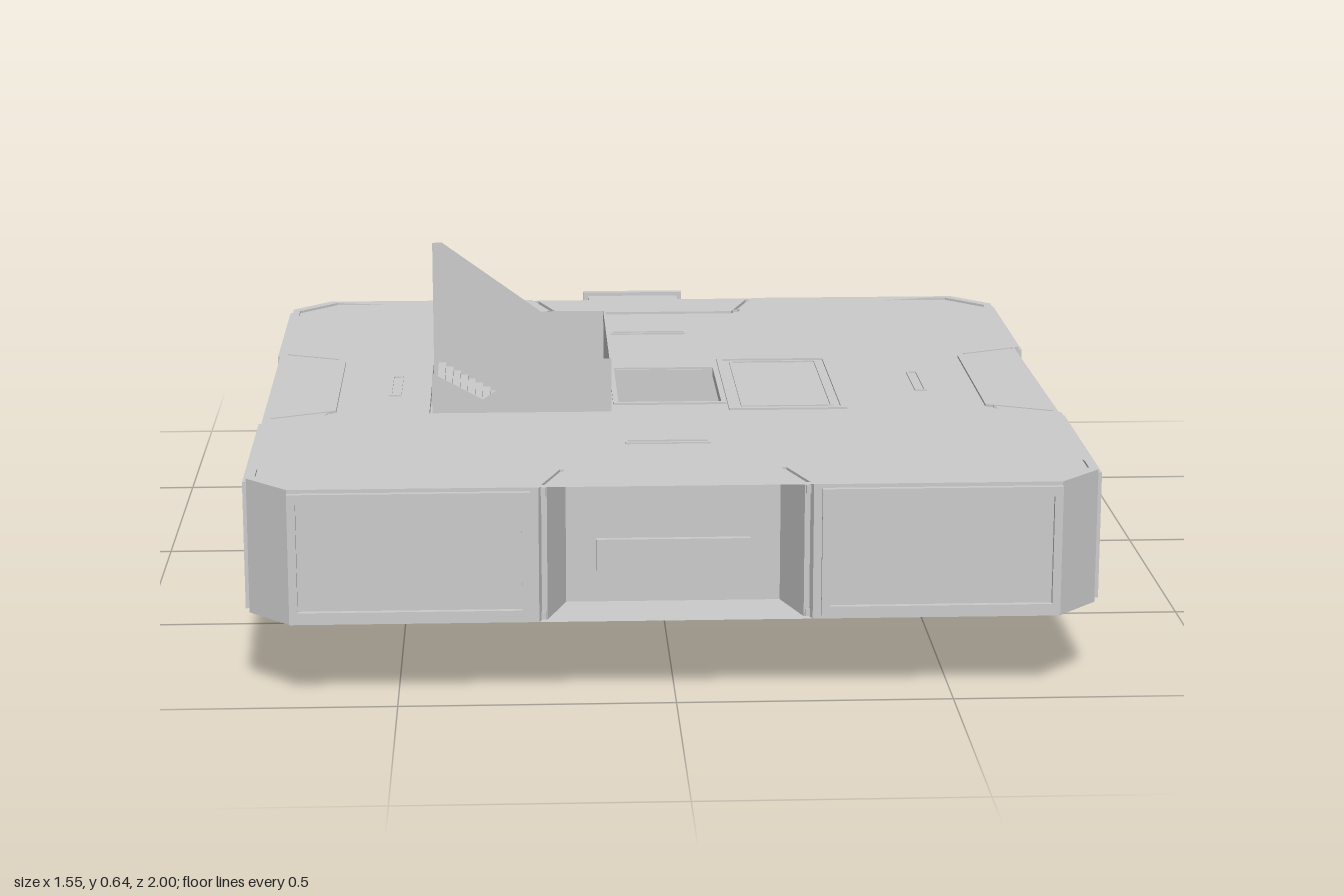
import * as THREE from 'three';

const MID = 0.2; // z of the hall's centre

export function createModel() {
  const model = new THREE.Group();
  const mat = new THREE.MeshStandardMaterial({ color: 0xcccccc, flatShading: true, side: THREE.DoubleSide });

  const add = (name, geo, parent = model) => {
    const mesh = new THREE.Mesh(geo, mat);
    mesh.name = name;
    parent.add(mesh);
    return mesh;
  };
  // box from its low and high corners
  const box = (name, x0, x1, y0, y1, z0, z1, parent) =>
    add(name, new THREE.BoxGeometry(x1 - x0, y1 - y0, z1 - z0)
      .translate((x0 + x1) / 2, (y0 + y1) / 2, (z0 + z1) / 2), parent);
  const poly = (pts) => pts.map(([x, y]) => new THREE.Vector2(x, y));
  const rect = (x0, x1, y0, y1) => [[x0, y0], [x1, y0], [x1, y1], [x0, y1]];
  const shapeOf = (pts, holes = []) => {
    const s = new THREE.Shape(poly(pts));
    s.holes = holes.map((h) => new THREE.Path(poly(h)));
    return s;
  };
  const extrude = (shape, depth) => new THREE.ExtrudeGeometry(shape, { depth, bevelEnabled: false });
  // horizontal slab from [x, z] outlines
  const slab = (name, pts, holes, y0, y1) => {
    const flip = (l) => l.map(([x, z]) => [x, -z]);
    return add(name, extrude(shapeOf(flip(pts), holes.map(flip)), y1 - y0)
      .rotateX(-Math.PI / 2).translate(0, y0, 0));
  };

  // Hall outline: one quarter mirrored into four chamfered corner bastions
  const quarter = [[0.205, 0.665], [0.245, 0.785], [0.69, 0.785], [0.767, 0.705], [0.767, 0.28], [0.645, 0.225]];
  const outline = (inset) => {
    const q = quarter.map(([x, z]) => [x - inset, z - inset]);
    const r = [...q].reverse();
    return [
      ...q, ...r.map(([x, z]) => [x, -z]),
      ...q.map(([x, z]) => [-x, -z]), ...r.map(([x, z]) => [-x, z]),
    ].map(([x, z]) => [x, z + MID]);
  };
  const stairHole = rect(-0.45, -0.1, -0.012, 0.42);
  const shaftHole = rect(-0.083, 0.118, 0.075, 0.36);
  slab('outerWall', outline(0), [outline(0.015)], 0.15, 0.4);
  slab('roof', outline(0.012), [stairHole, shaftHole], 0.38, 0.395);
  slab('floor', outline(0.012), [stairHole, shaftHole], 0.151, 0.165);

  // Framed panels on both outer faces of every bastion
  const panelGeo = (w) => extrude(shapeOf(rect(-w / 2, w / 2, 0.157, 0.393),
    [rect(-w / 2 + 0.015, w / 2 - 0.015, 0.175, 0.375)]), 0.01);
  for (const sx of [-1, 1]) for (const sz of [-1, 1]) {
    const end = add('endPanelFrame', panelGeo(0.43));
    end.position.set(sx * 0.475, 0, MID + sz * 0.785);
    end.rotation.y = sz > 0 ? 0 : Math.PI;
    const side = add('sidePanelFrame', panelGeo(0.42));
    side.position.set(sx * 0.764, 0, MID + sz * 0.4925);
    side.rotation.y = sx * Math.PI / 2;
  }

  // Shallow door plates between the bastions
  for (const s of [-1, 1]) {
    box('sideDoor', s * 0.65 - 0.006, s * 0.65 + 0.006, 0.165, 0.27, 0.05 - 0.1, 0.35);
  }
  box('frontDoor', -0.14, 0.14, 0.165, 0.27, 0.86, 0.876);

  // Thin rectangular trims on the roof and the underside
  const trim = (name, x0, x1, z0, z1, w, y0, y1) =>
    slab(name, rect(x0, x1, z0, z1), [rect(x0 + w, x1 - w, z0 + w, z1 - w)], y0, y1);
  trim('hatchFrame', 0.13, 0.36, -0.01, 0.42, 0.012, 0.395, 0.399);
  trim('hatchInnerFrame', 0.155, 0.335, 0.015, 0.395, 0.006, 0.395, 0.398);
  trim('shaftFrame', -0.093, 0.128, 0.062, 0.37, 0.01, 0.395, 0.399);
  trim('lowerShaftFrame', -0.097, 0.13, 0.06, 0.373, 0.014, 0.141, 0.152);
  trim('lowerHatchFrame', 0.13, 0.36, -0.01, 0.42, 0.012, 0.147, 0.152);
  for (const s of [-1, 1]) {
    trim('roofSlot', -0.08, 0.08, MID + s * 0.46 - 0.012, MID + s * 0.46 + 0.012, 0.005, 0.395, 0.398);
    trim('roofSlot', s * 0.52 - 0.012, s * 0.52 + 0.012, MID - 0.08, MID + 0.08, 0.005, 0.395, 0.398);
  }

  // Stairwell: two flights joined by a landing
  const stairs = new THREE.Group();
  stairs.name = 'stairwell';
  model.add(stairs);
  const flight = (name, yAtLanding, yAtEnd, z0, z1) => {
    const n = 14, x0 = -0.23, run = -0.21 / n, rise = (yAtEnd - yAtLanding) / n;
    const pts = [];
    for (let i = 0; i < n; i++) {
      const y = yAtLanding + rise * (rise > 0 ? i + 1 : i);
      pts.push([x0 + run * i, y], [x0 + run * (i + 1), y]);
    }
    pts.push([-0.44, yAtEnd - 0.02], [x0, yAtLanding - 0.02]);
    add(name, extrude(shapeOf(pts), z1 - z0).translate(0, 0, z0), stairs);
  };
  flight('upperFlight', 0.275, 0.395, -0.008, 0.185);
  flight('lowerFlight', 0.275, 0.155, 0.22, 0.415);
  box('landing', -0.23, -0.1, 0.255, 0.275, -0.008, 0.418, stairs);

  // Thin parapets around the stairs
  const wall = (name, pts, z) =>
    add(name, new THREE.ShapeGeometry(shapeOf(pts)).translate(0, 0, z), stairs);
  wall('backParapet', [[-0.45, 0.645], [-0.43, 0.645], [-0.23, 0.5], [-0.1, 0.5], [-0.1, 0.15],
    [-0.23, 0.15], [-0.23, 0], [-0.43, 0.15], [-0.45, 0.17]], -0.01);
  wall('middleParapet', [[-0.45, 0.42], [-0.23, 0.3], [-0.23, 0], [-0.43, 0.15], [-0.45, 0.17]], 0.19);
  wall('frontParapet', [[-0.45, 0.352], [-0.23, 0.5], [-0.1, 0.5], [-0.1, 0.15], [-0.45, 0.15]], 0.42);
  box('landingParapet', -0.102, -0.098, 0.25, 0.5, -0.01, 0.42, stairs);

  // Hollow access corridor at the back
  const corridor = new THREE.Group();
  corridor.name = 'corridor';
  corridor.position.x = -0.007;
  model.add(corridor);
  const tube = (name, w, y0, y1, t, z0, z1) => add(name, extrude(
    shapeOf(rect(-w, w, y0, y1), [rect(-w + t, w - t, y0 + t, y1 - t)]), z1 - z0).translate(0, 0, z0), corridor);
  tube('neck', 0.077, 0.16, 0.312, 0.012, -0.55, -0.455);
  tube('passage', 0.103, 0.148, 0.322, 0.03, -0.99, -0.55);
  tube('endFlange', 0.114, 0.14, 0.33, 0.04, -1, -0.982);

  return model;
}
